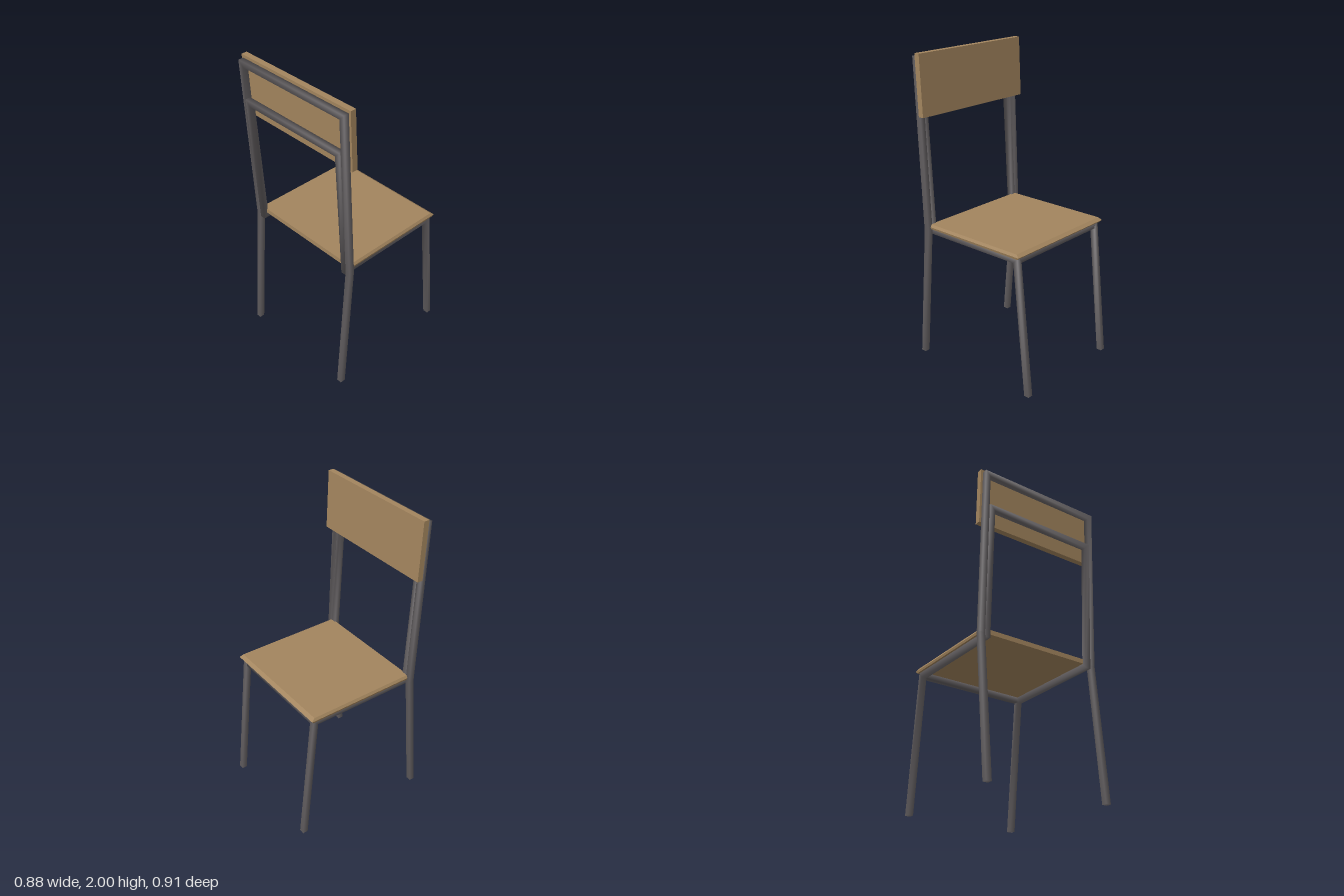
import * as THREE from 'three';

const V = (x, y, z) => new THREE.Vector3(x, y, z);
const H = 0.0175; // half width of the square tube

// Square tube swept along a path with mitred bends; u and v span the first section
function tube(points, u, v) {
  const n = points.length;
  const dirs = points.slice(1).map((p, i) => p.clone().sub(points[i]).normalize());
  let ring = [[1, -1], [1, 1], [-1, 1], [-1, -1]].map(([a, b]) =>
    points[0].clone().addScaledVector(u, a * H).addScaledVector(v, b * H));
  const endNormal = u.clone().cross(v);
  const pos = ring.flatMap(p => p.toArray());
  const index = [0, 2, 1, 0, 3, 2];
  for (let i = 1; i < n; i++) {
    const d = dirs[i - 1];
    const m = i < n - 1 ? d.clone().add(dirs[i]) : endNormal;
    ring = ring.map(p => {
      const t = points[i].clone().sub(p).dot(m) / d.dot(m);
      return p.clone().addScaledVector(d, t);
    });
    pos.push(...ring.flatMap(p => p.toArray()));
    for (let j = 0; j < 4; j++) {
      const a = (i - 1) * 4 + j, b = (i - 1) * 4 + (j + 1) % 4;
      index.push(a, b, b + 4, a, b + 4, a + 4);
    }
  }
  const e = (n - 1) * 4;
  index.push(e, e + 1, e + 2, e, e + 2, e + 3);
  const g = new THREE.BufferGeometry();
  g.setAttribute('position', new THREE.Float32BufferAttribute(pos, 3));
  g.setIndex(index);
  g.computeVertexNormals();
  return g;
}

// Half of a frame followed by its mirror image
const mirrored = half => [...half, ...half.map(p => V(-p.x, p.y, p.z)).reverse()];

// Solid from stacked rectangles [y, halfWidth, zFront, zBack], bottom to top
function stack(levels) {
  const pos = [], index = [];
  levels.forEach(([y, w, f, b]) => pos.push(w, y, b, w, y, f, -w, y, f, -w, y, b));
  for (let i = 0; i < levels.length - 1; i++) for (let j = 0; j < 4; j++) {
    const a = i * 4 + j, b = i * 4 + (j + 1) % 4;
    index.push(a, b, b + 4, a, b + 4, a + 4);
  }
  const e = (levels.length - 1) * 4;
  index.push(0, 2, 1, 0, 3, 2, e, e + 1, e + 2, e, e + 2, e + 3);
  const g = new THREE.BufferGeometry();
  g.setAttribute('position', new THREE.Float32BufferAttribute(pos, 3));
  g.setIndex(index);
  const flat = g.toNonIndexed();
  flat.computeVertexNormals();
  return flat;
}

export function createModel() {
  const wood = new THREE.MeshStandardMaterial({ color: 0xa3855e });
  const metal = new THREE.MeshStandardMaterial({ color: 0x625e60 });
  wood.name = 'wood';
  metal.name = 'metal';
  const group = new THREE.Group();
  group.name = 'chair';
  const add = (name, geometry, material) => {
    const mesh = new THREE.Mesh(geometry, material);
    mesh.name = name;
    group.add(mesh);
  };
  const X = V(1, 0, 0), Y = V(0, 1, 0), Z = V(0, 0, 1);

  // Outer frame: rear legs, posts and top bar
  add('outerFrame', tube(mirrored([
    V(0.411, 0, 0.44), V(0.411, 0.885, 0.364), V(0.411, 1.963, 0.409),
  ]), X, Z.clone().negate()), metal);

  // Inner frame: front legs, side rails, inner posts and lower back bar
  add('innerFrame', tube(mirrored([
    V(0.375, 0, -0.438), V(0.375, 0.878, -0.347), V(0.375, 0.878, 0.365), V(0.375, 1.722, 0.409),
  ]), X, Z.clone().negate()), metal);

  // Rail under the front edge of the seat
  add('frontRail', tube([V(-0.37, 0.878, -0.347), V(0.37, 0.878, -0.347)], Y, Z), metal);

  // Seat board with chamfered edges
  add('seat', stack([
    [0.896, 0.404, -0.372, 0.357],
    [0.91, 0.408, -0.385, 0.357],
    [0.926, 0.398, -0.362, 0.357],
  ]), wood);

  // Leaning backrest board
  add('backrest', stack([
    [1.62, 0.442, 0.339, 0.376],
    [2.0, 0.442, 0.355, 0.392],
  ]), wood);

  return group;
}
